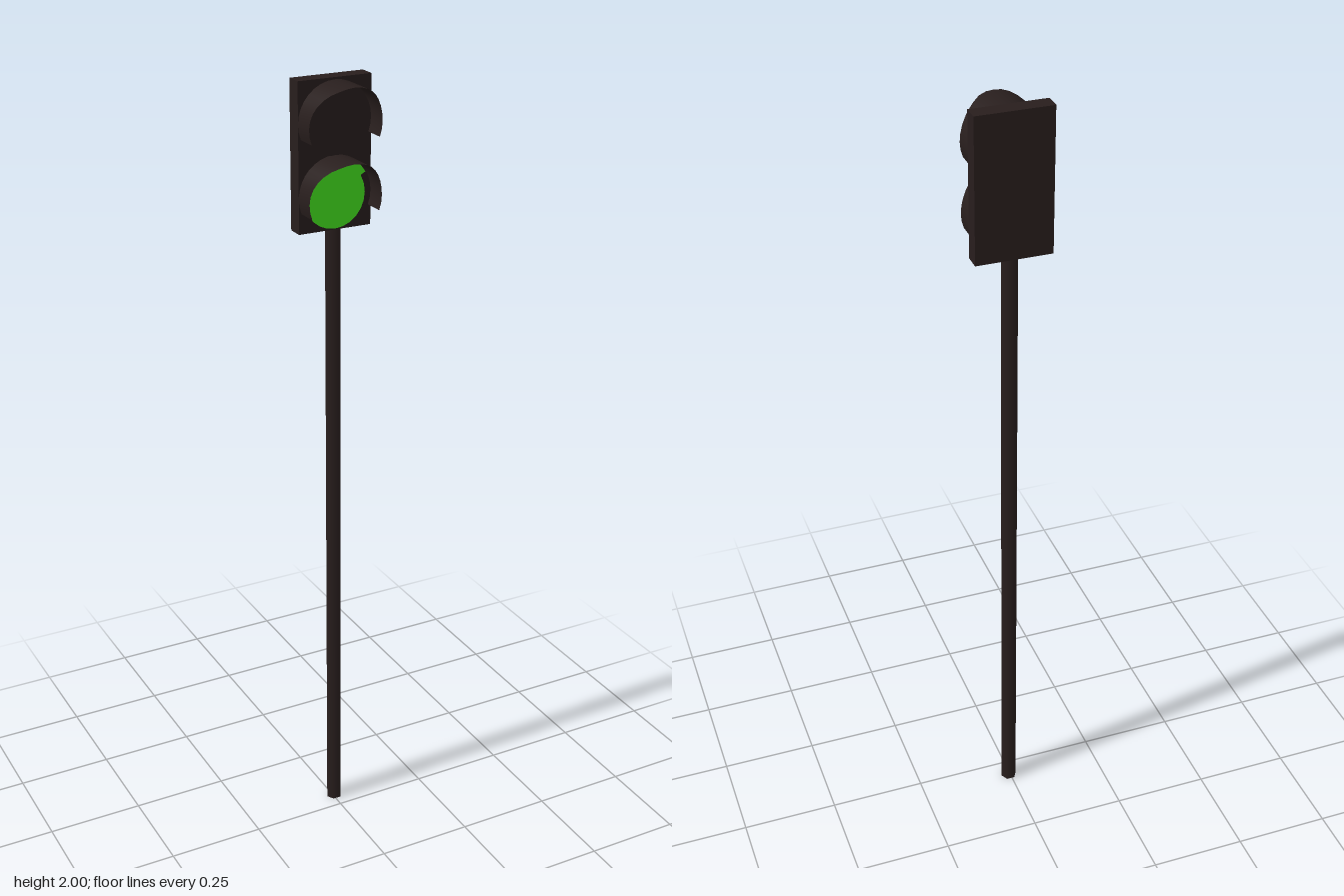
import * as THREE from 'three';

export function createModel() {
  const group = new THREE.Group();
  const body = new THREE.MeshStandardMaterial({ name: 'dark brown metal', color: 0x281e1d, side: THREE.DoubleSide });
  const green = new THREE.MeshStandardMaterial({ name: 'green glass', color: 0x45e620 });

  const add = (name, geometry, material, x, y, z) => {
    const mesh = new THREE.Mesh(geometry, material);
    mesh.name = name;
    mesh.position.set(x, y, z);
    group.add(mesh);
    return mesh;
  };

  // Six-sided pole and signal box
  const pole = add('pole', new THREE.CylinderGeometry(0.021, 0.021, 1.65, 6), body, 0.004, 0.825, -0.047);
  pole.rotation.y = Math.PI / 6;
  add('signalBox', new THREE.BoxGeometry(0.19, 0.36, 0.042), body, 0, 1.82, -0.049);

  // Open hood: an arc swept forward, longest over the middle
  function hoodGeometry() {
    const steps = 20, radius = 0.095, back = -0.03;
    const positions = [], index = [];
    for (let i = 0; i <= steps; i++) {
      const a = THREE.MathUtils.degToRad(-22 + (224 * i) / steps);
      const x = radius * Math.cos(a), y = radius * Math.sin(a);
      const cut = y < 0 ? 1 : Math.max(0, (Math.abs(x) - 0.03) / 0.065);
      positions.push(x, y, back, x, y, 0.069 - 0.041 * cut);
      if (i < steps) {
        const k = i * 2;
        index.push(k, k + 1, k + 2, k + 1, k + 3, k + 2);
      }
    }
    const g = new THREE.BufferGeometry();
    g.setAttribute('position', new THREE.Float32BufferAttribute(positions, 3));
    g.setIndex(index);
    g.computeVertexNormals();
    return g;
  }

  // Two lamps: the upper one dark, the lower one green, each with a rim under its hood
  for (const [label, y, material] of [['upper', 1.9, body], ['lower', 1.725, green]]) {
    add(label + 'Hood', hoodGeometry(), body, 0, y, 0);
    add(label + 'Lens', new THREE.CircleGeometry(0.08, 24), material, -0.002, y - 0.002, -0.025);
    const rim = new THREE.RingGeometry(0.076, 0.092, 16, 1, Math.PI / 6, (Math.PI * 2) / 3);
    add(label + 'Rim', rim, material, 0, y, -0.026);
  }
  return group;
}
